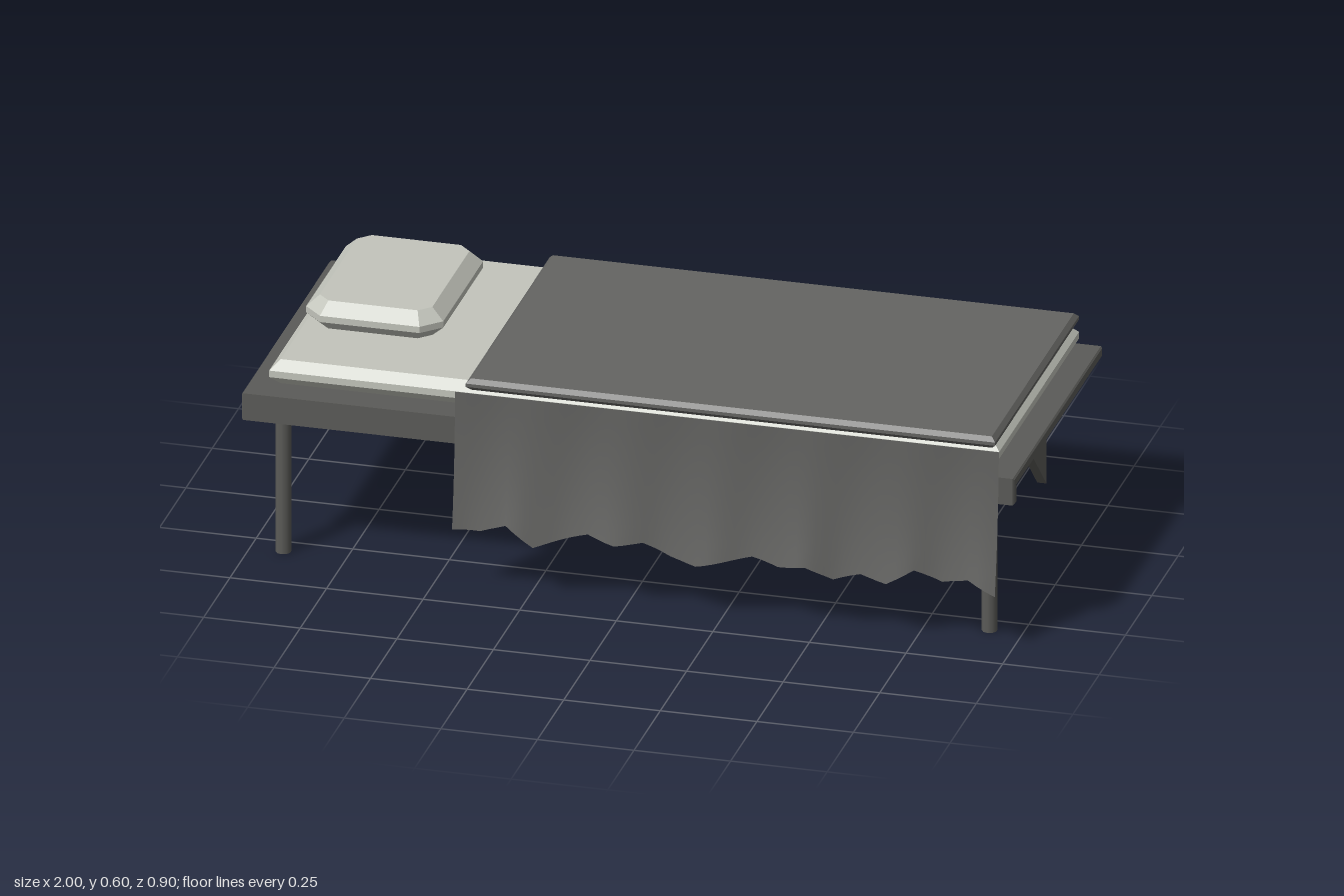
import * as THREE from 'three';

const paint = (name, color) => {
  const m = new THREE.MeshStandardMaterial({ color });
  m.name = name;
  return m;
};

export function createModel() {
  const group = new THREE.Group();
  const metal = paint('dark metal', 0x5b5b58);
  const wool = paint('grey wool', 0x646462);
  const linen = paint('pale linen', 0xc3c5bc);
  const cloth = paint('hanging cloth', 0x626260);
  cloth.side = THREE.DoubleSide;
  const worn = paint('worn grey', 0x565652);

  const add = (name, geometry, material, x = 0, y = 0, z = 0) => {
    const mesh = new THREE.Mesh(geometry, material);
    mesh.name = name;
    mesh.position.set(x, y, z);
    group.add(mesh);
    return mesh;
  };

  // Box with chamfered top and bottom edges and optionally cut corners
  const cushion = (name, material, [x0, x1], [y0, y1], [z0, z1], side, rise, cut = 0) => {
    const a = (x1 - x0) / 2 - side, b = (z1 - z0) / 2 - side;
    const corners = cut
      ? [[a - cut, -b], [a, cut - b], [a, b - cut], [a - cut, b], [cut - a, b], [-a, b - cut], [-a, cut - b], [cut - a, -b]]
      : [[a, -b], [a, b], [-a, b], [-a, -b]];
    const shape = new THREE.Shape(corners.map(p => new THREE.Vector2(...p)));
    const geo = new THREE.ExtrudeGeometry(shape, {
      depth: y1 - y0 - 2 * rise, bevelEnabled: true, bevelSegments: 1, bevelSize: side, bevelThickness: rise,
    });
    geo.rotateX(-Math.PI / 2);
    return add(name, geo, material, (x0 + x1) / 2, y0 + rise, (z0 + z1) / 2);
  };

  // Side profile of [z, y] points extruded across x
  const profileX = (name, points, width, x, bevel) => {
    const shape = new THREE.Shape(points.map(([z, y]) => new THREE.Vector2(-z, y)));
    const geo = new THREE.ExtrudeGeometry(shape, {
      depth: width - 2 * bevel, bevelEnabled: bevel > 0, bevelSegments: 1,
      bevelSize: bevel, bevelThickness: bevel, bevelOffset: -bevel,
    });
    geo.translate(0, 0, bevel - width / 2).rotateY(Math.PI / 2);
    return add(name, geo, metal, x);
  };

  // Bunk panel with a downturned front lip
  profileX('bunkPanel', [
    [-0.45, 0.43], [0.363, 0.43], [0.363, 0.385], [0.39, 0.385], [0.39, 0.458], [-0.45, 0.458],
  ], 2, 0, 0.004);

  // Triangular wall brackets
  for (const x of [-0.843, 0, 0.843])
    profileX('wallBracket', [[-0.45, 0.065], [-0.08, 0.43], [-0.45, 0.43]], 0.024, x, 0);

  // Front legs and slack chains
  const sag = [[0.295, 0.417], [0.18, 0.39], [0.1, 0.353], [0.015, 0.35], [-0.07, 0.387]];
  for (const s of [-1, 1]) {
    add('frontLeg', new THREE.CylinderGeometry(0.02, 0.02, 0.43, 10), metal, s * 0.914, 0.215, 0.308);
    const path = new THREE.CurvePath();
    for (let i = 1; i < sag.length; i++)
      path.add(new THREE.LineCurve3(
        new THREE.Vector3(s * 0.895, sag[i - 1][1], sag[i - 1][0]),
        new THREE.Vector3(s * 0.895, sag[i][1], sag[i][0])));
    add('slackChain', new THREE.TubeGeometry(path, 16, 0.005, 6), worn);
  }

  // Bedding
  cushion('mattress', linen, [-0.945, 0.945], [0.458, 0.524], [-0.43, 0.33], 0.024, 0.024);
  cushion('blanket', wool, [-0.425, 0.945], [0.523, 0.554], [-0.43, 0.37], 0.011, 0.011);
  cushion('pillow', linen, [-0.918, -0.563], [0.523, 0.6], [-0.352, 0.125], 0.032, 0.03, 0.03);

  // Draped cloth: folds deepen downward and the hem is ragged
  const hem = [0.17, 0.17, 0.2, 0.147, 0.172, 0.198, 0.178, 0.19, 0.16, 0.147, 0.165, 0.183,
    0.168, 0.178, 0.147, 0.17, 0.158, 0.2, 0.172, 0.19, 0.155];
  const cols = 60, rows = 8;
  const drape = new THREE.PlaneGeometry(1, 1, cols, rows);
  const pos = drape.attributes.position;
  for (let i = 0; i < pos.count; i++) {
    const u = pos.getX(i) + 0.5, t = 0.5 - pos.getY(i);
    const k = Math.min(u * (hem.length - 1), hem.length - 1.001), j = Math.floor(k);
    const low = THREE.MathUtils.lerp(hem[j], hem[j + 1], k - j);
    const x = -0.443 + 1.408 * u;
    const fold = Math.cos((x + 0.27) * Math.PI * 2 / 0.242);
    pos.setXYZ(i, x, THREE.MathUtils.lerp(0.535, low, t), 0.407 + 0.03 * t * t + 0.011 * t * fold);
  }
  drape.computeVertexNormals();
  add('drapedCloth', drape, cloth);

  // Things left on the floor
  add('cup', new THREE.CylinderGeometry(0.036, 0.036, 0.095, 16), worn, 0.47, 0.0475, -0.239);
  cushion('floorBundle', worn, [-0.407, -0.228], [0.004, 0.054], [-0.352, -0.25], 0.022, 0.019, 0.012);

  return group;
}
